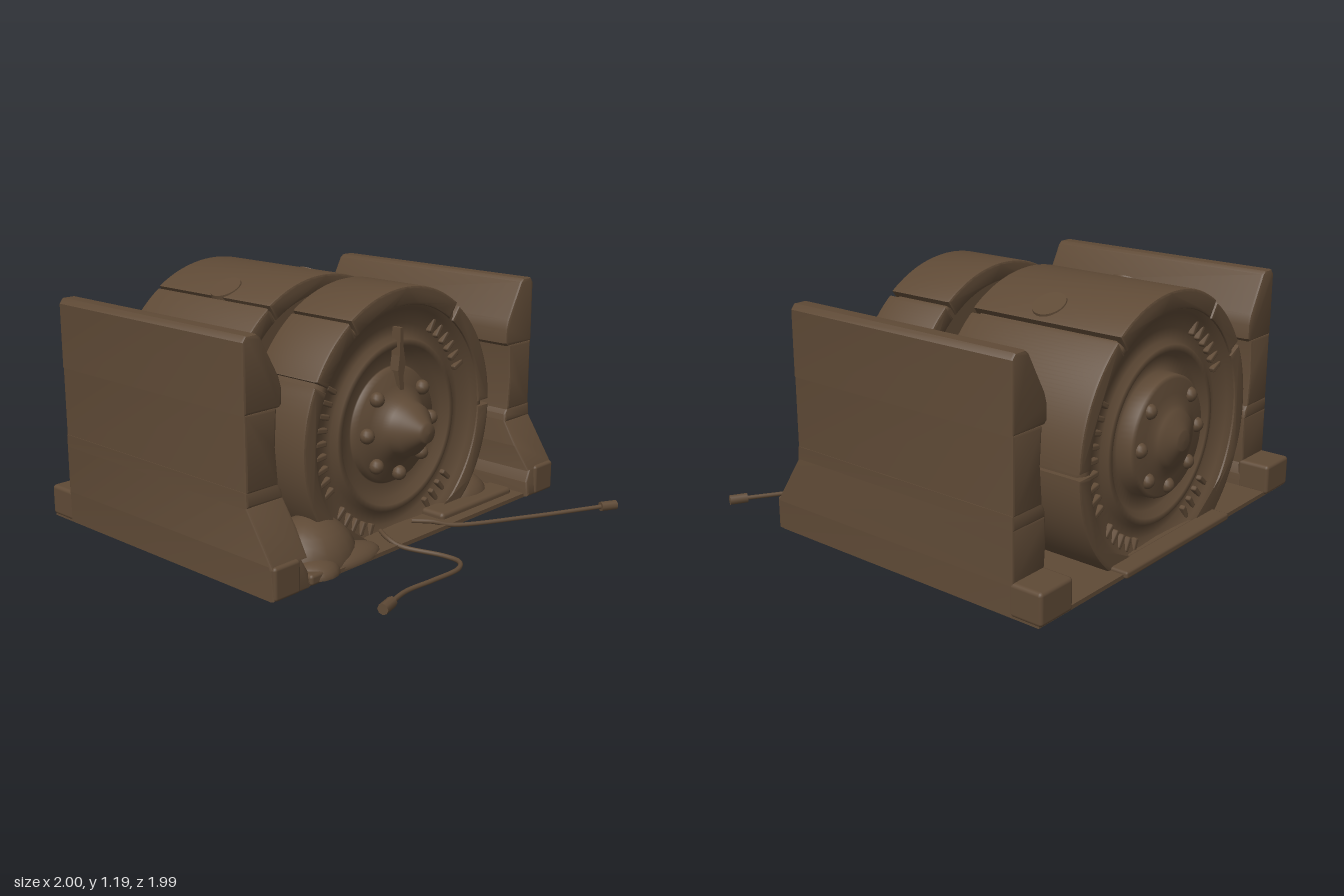
import * as THREE from 'three';
import { toCreasedNormals } from 'three/addons/utils/BufferGeometryUtils.js';
import { RoundedBoxGeometry } from 'three/addons/geometries/RoundedBoxGeometry.js';

const brown = new THREE.MeshStandardMaterial({ color: 0x5f4a36 });
brown.name = 'worn brown';

const CY = 0.53; // axle height
const R = 0.655; // drum radius
const FLOOR = 0.03;
const rad = THREE.MathUtils.degToRad;

function add(parent, name, geo, x = 0, y = 0, z = 0) {
  const m = new THREE.Mesh(geo, brown);
  m.name = name;
  m.position.set(x, y, z);
  parent.add(m);
  return m;
}

// Flattens everything below the floor plate
function clampFloor(geo) {
  const p = geo.attributes.position;
  for (let i = 0; i < p.count; i++) if (p.getY(i) < FLOOR) p.setY(i, FLOOR);
  return geo;
}

function bevelExtrude(shape, z0, z1, b) {
  const g = new THREE.ExtrudeGeometry(shape, {
    depth: z1 - z0 - 2 * b, bevelThickness: b, bevelSize: b, bevelOffset: -b,
    bevelSegments: 2, curveSegments: 16,
  });
  return g.translate(0, 0, z0 + b);
}

// Drum body and dished face, facing +z with the rim at z = 0
function drumCore(length, hubScale, lift) {
  const hub = [[0.28, -0.07], [0.265, -0.04], [0.2, -0.03], [0.16, 0.005], [0.135, 0.03],
    [0.12, 0.075], [0.05, 0.14], [0.045, 0.155], [0, 0.16]]
    .map(([r, d]) => [r, d * hubScale + lift]);
  const profile = [[0, -length + 0.01], [0.62, -length + 0.01], [0.632, -length + 0.03], [0.632, -0.03],
    [0.6, -0.008], [0.57, -0.006], [0.55, -0.03], [0.48, -0.06], [0.425, -0.06], [0.41, -0.03],
    [0.38, -0.03], [0.355, -0.065], [0.285, -0.075], ...hub];
  const g = new THREE.LatheGeometry(profile.map(([r, z]) => new THREE.Vector2(r, z)), 64);
  return clampFloor(g.rotateX(Math.PI / 2).translate(0, CY, 0));
}

function drumFace(parent, length, hubScale, lift) {
  add(parent, 'drumCore', drumCore(length, hubScale, lift));
  // Hub bolts, none at the top where the split is
  for (let i = 1; i < 8; i++) {
    const a = Math.PI / 2 + i * Math.PI / 4;
    const bolt = new THREE.SphereGeometry(0.036, 12, 8);
    add(parent, 'hubBolt', bolt, 0.225 * Math.cos(a), CY + 0.225 * Math.sin(a), lift - 0.02);
  }
  // Short ribs in four clusters around the side wall
  for (const [from, to] of [[25, 60], [150, 210], [222, 250], [298, 325]]) {
    for (let a = from; a <= to; a += 7) {
      const rib = add(parent, 'wallRib', new RoundedBoxGeometry(0.07, 0.026, 0.03, 1, 0.008),
        0.505 * Math.cos(rad(a)), CY + 0.505 * Math.sin(rad(a)), -0.048);
      rib.rotation.z = rad(a);
    }
  }
}

// Curved outer plates with narrow gaps between them
function treadPlates(parent, z0, z1) {
  const plates = [[-70, -1, R], [1, 52, R], [54, 123, R + 0.006], [124, 151, R], [153, 250, R]];
  for (const [a0, a1, r] of plates) {
    const s = new THREE.Shape();
    s.absarc(0, 0, r, rad(a0), rad(a1), false);
    s.absarc(0, 0, 0.572, rad(a1), rad(a0), true);
    const g = bevelExtrude(s, z0, z1, 0.012).translate(0, CY, 0);
    add(parent, 'treadPlate', toCreasedNormals(clampFloor(g), 0.6));
  }
}

// Side wall block: outline in x and y, with its front edge sloping in z
function wallBlock(parent, name, outline, yTop, zTop, yLow, zLow) {
  const s = new THREE.Shape(outline.map(([x, y]) => new THREE.Vector2(x, y)));
  const g = bevelExtrude(s, -0.845, 0.41, 0.012);
  const p = g.attributes.position;
  for (let i = 0; i < p.count; i++) {
    if (p.getZ(i) < 0) continue;
    const t = (yTop - p.getY(i)) / (yTop - yLow);
    p.setZ(i, p.getZ(i) - 0.41 + zTop + (zLow - zTop) * t);
  }
  add(parent, name, toCreasedNormals(g, 0.5));
}

function sideWall(side) {
  const wall = new THREE.Group();
  wall.name = side > 0 ? 'leftWall' : 'rightWall';
  const o = (pts) => (side > 0 ? pts : pts.map(([x, y]) => [-x, y]).reverse());
  wallBlock(wall, 'wallTop', o([[1, 0.785], [1, 1.09], [0.98, 1.115], [0.92, 1.115], [0.9, 1.1],
    [0.8, 0.92], [0.785, 0.87], [0.785, 0.8], [0.8, 0.785]]), 1.1, 0.41, 0.8, 0.41);
  wallBlock(wall, 'wallMiddle', o([[0.997, 0.45], [0.997, 0.79], [0.815, 0.79], [0.825, 0.62],
    [0.81, 0.45]]), 0.79, 0.41, 0.45, 0.41);
  wallBlock(wall, 'wallLower', o([[1, 0.39], [1, 0.46], [0.815, 0.46], [0.795, 0.43],
    [0.79, 0.39]]), 0.46, 0.41, 0.39, 0.415);
  wallBlock(wall, 'wallSlope', o([[1, 0.16], [1, 0.4], [0.79, 0.4], [0.785, 0.28], [0.795, 0.16]]),
    0.4, 0.41, 0.17, 0.56);
  wallBlock(wall, 'wallBase', o([[1, 0.025], [1, 0.175], [0.83, 0.175], [0.79, 0.1], [0.79, 0.025]]),
    0.175, 0.555, 0.025, 0.57);
  add(wall, 'rearFoot', new RoundedBoxGeometry(0.21, 0.15, 0.17, 2, 0.018), side * 0.895, 0.1, -0.905);
  add(wall, 'frontFoot', new RoundedBoxGeometry(0.15, 0.15, 0.06, 2, 0.015), side * 0.922, 0.1, 0.545);
  return wall;
}

function cable(parent, points, angle) {
  const path = new THREE.CatmullRomCurve3(points.map(([x, y, z]) => new THREE.Vector3(x, y, z)));
  add(parent, 'cable', new THREE.TubeGeometry(path, 40, 0.011, 8));
  const [x, y, z] = points[points.length - 1];
  const plug = add(parent, 'cablePlug', new THREE.CylinderGeometry(0.025, 0.025, 0.085, 8).rotateZ(Math.PI / 2), x, y, z);
  plug.rotation.y = angle;
}

function mound(parent, x, z, sx, sy, sz, y = 0.03) {
  add(parent, 'mound', new THREE.SphereGeometry(1, 20, 8, 0, Math.PI * 2, 0, Math.PI / 2).scale(sx, sy, sz), x, y, z);
}

export function createModel() {
  const model = new THREE.Group();
  model.name = 'drumMachine';

  // Floor
  add(model, 'floorPlate', new THREE.BoxGeometry(1.99, 0.02, 1.52), 0, 0.03, -0.215);
  add(model, 'floorUnderside', new THREE.BoxGeometry(0.6, 0.03, 0.72), 0, 0.015, -0.51);
  add(model, 'rearLedge', new RoundedBoxGeometry(0.84, 0.035, 0.1, 1, 0.012), 0, 0.037, -0.945);
  model.add(sideWall(1), sideWall(-1));

  // Front wheel
  const wheel = new THREE.Group();
  wheel.name = 'frontWheel';
  treadPlates(wheel, 0.04, 0.405);
  const front = new THREE.Group();
  front.name = 'frontFace';
  front.position.z = 0.4;
  drumFace(front, 0.36, 1, 0);
  // Jagged sliver above the hub
  const sliver = new THREE.Shape([[-0.012, 0.47], [-0.016, 0.34], [-0.026, 0.27], [-0.006, 0.16],
    [0.018, 0.17], [0.012, 0.24], [0.026, 0.3], [0.01, 0.38], [0.006, 0.47]].reverse()
    .map(([x, y]) => new THREE.Vector2(x, y)));
  add(front, 'sliver', new THREE.ExtrudeGeometry(sliver, { depth: 0.05, bevelEnabled: false }), 0, CY, -0.06);
  wheel.add(front);

  // Rear drum, its face turned backwards
  const drum = new THREE.Group();
  drum.name = 'rearDrum';
  treadPlates(drum, -0.91, -0.105);
  const rear = new THREE.Group();
  rear.name = 'rearFace';
  rear.position.z = -0.905;
  rear.rotation.y = Math.PI;
  drumFace(rear, 0.795, 0.4, 0.022);
  drum.add(rear);
  // Round caps on the drum top
  for (const s of [-1, 1]) {
    const a = s * rad(27);
    const cap = add(drum, 'drumCap', new THREE.CylinderGeometry(0.078, 0.084, 0.03, 24),
      Math.sin(a) * 0.652, CY + Math.cos(a) * 0.652, -0.47);
    cap.rotation.z = -a;
  }
  model.add(wheel, drum);

  // Axle between the drums, ringed with rods
  const axle = new THREE.Group();
  axle.name = 'axle';
  add(axle, 'axleShaft', new THREE.CylinderGeometry(0.2, 0.2, 0.2, 32).rotateX(Math.PI / 2), 0, CY, -0.035);
  add(axle, 'axleFlange', new THREE.CylinderGeometry(0.26, 0.26, 0.05, 32).rotateX(Math.PI / 2), 0, CY, -0.1);
  for (let i = 0; i < 8; i++) {
    const a = (i + 0.5) * Math.PI / 4;
    add(axle, 'axleRod', new THREE.CylinderGeometry(0.028, 0.028, 0.18, 10).rotateX(Math.PI / 2),
      0.225 * Math.cos(a), CY + 0.225 * Math.sin(a), -0.035);
  }
  model.add(axle);

  // Debris heaped around the front wheel
  const debris = new THREE.Group();
  debris.name = 'debris';
  mound(debris, -0.56, 0.34, 0.23, 0.2, 0.2);
  mound(debris, -0.66, 0.46, 0.12, 0.07, 0.12);
  mound(debris, -0.45, 0.46, 0.2, 0.06, 0.1);
  mound(debris, 0.55, 0.3, 0.17, 0.13, 0.14);
  mound(debris, 0.62, 0.12, 0.08, 0.15, 0.1);
  add(debris, 'frontSlab', new RoundedBoxGeometry(0.56, 0.05, 0.14, 2, 0.02), 0.48, 0.045, 0.42);
  add(debris, 'looseStone', new RoundedBoxGeometry(0.1, 0.05, 0.08, 2, 0.015), -0.72, 0.045, 0.52);
  model.add(debris);

  // Loose cables in front
  const cables = new THREE.Group();
  cables.name = 'cables';
  cable(cables, [[-0.15, 0.06, 0.4], [-0.185, 0.055, 0.47], [-0.185, 0.035, 0.55], [-0.13, 0.03, 0.76],
    [-0.135, 0.03, 0.85], [-0.2, 0.03, 0.9], [-0.38, 0.03, 0.9], [-0.54, 0.03, 0.89], [-0.72, 0.038, 0.94]], rad(15));
  cable(cables, [[0.05, 0.06, 0.42], [0.12, 0.055, 0.49], [0.19, 0.035, 0.55], [0.55, 0.03, 0.75],
    [0.93, 0.038, 0.955]], rad(-28));
  model.add(cables);

  return model;
}
